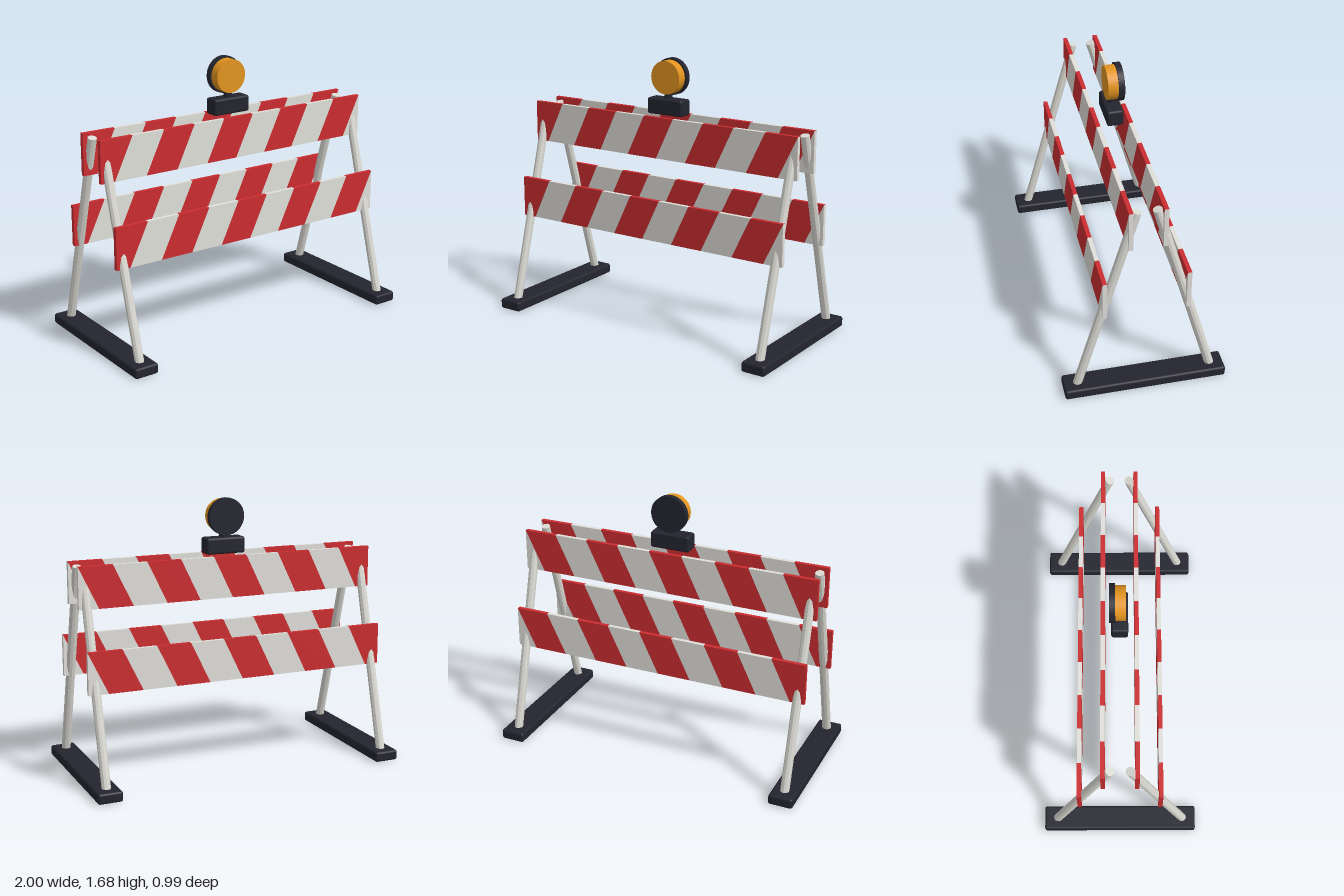
import * as THREE from 'three';
import { RoundedBoxGeometry } from 'three/addons/geometries/RoundedBoxGeometry.js';

const material = (name, color) => {
  const m = new THREE.MeshStandardMaterial({ color });
  m.name = name;
  return m;
};

export function createModel() {
  const red = material('red', 0xcb2d30);
  const white = material('white', 0xe0dfda);
  const dark = material('charcoal', 0x24242f);
  const amber = material('amber', 0xe3941f);
  const steel = material('pale steel', 0xdad9d2);
  steel.flatShading = true;

  const model = new THREE.Group();
  model.name = 'barricade';

  const add = (name, geometry, mat, x, y, z, parent = model) => {
    const mesh = new THREE.Mesh(geometry, mat);
    mesh.name = name;
    mesh.position.set(x, y, z);
    parent.add(mesh);
    return mesh;
  };

  // Slanted stripes that run right through a board
  const half = 0.97, height = 0.258, thick = 0.026, slant = 0.125;
  const pitch = (2 * half) / 9;
  const stripes = (first) => {
    const shapes = [];
    for (let k = first; k < 10; k += 2) {
      const left = -half + k * pitch;
      const clamp = (x) => Math.min(half, Math.max(-half, x));
      const points = [
        new THREE.Vector2(clamp(left - slant), 0),
        new THREE.Vector2(clamp(left + pitch - slant), 0),
        new THREE.Vector2(clamp(left + pitch), height),
      ];
      if (k < 9) points.push(new THREE.Vector2(left, height));
      shapes.push(new THREE.Shape(points));
    }
    const geometry = new THREE.ExtrudeGeometry(shapes, { depth: thick, bevelEnabled: false });
    return geometry.translate(0, 0, -thick / 2);
  };
  const redStripes = stripes(0);
  const whiteStripes = stripes(1);

  // Boards on both sloping sides
  for (const side of [1, -1]) {
    for (const [name, y, z] of [['upperBoard', 1.07, 0.1], ['lowerBoard', 0.589, 0.249]]) {
      const board = new THREE.Group();
      board.name = name;
      board.position.set(0, y, side * z);
      add('redStripes', redStripes, red, 0, 0, 0, board);
      add('whiteStripes', whiteStripes, white, 0, 0, 0, board);
      model.add(board);
    }
  }

  // Feet and leaning legs
  const footGeometry = new RoundedBoxGeometry(0.154, 0.065, 0.99, 2, 0.014);
  const up = new THREE.Vector3(0, 1, 0);
  for (const x of [-0.923, 0.923]) {
    add('foot', footGeometry, dark, x, 0.0325, 0);
    for (const side of [1, -1]) {
      const bottom = new THREE.Vector3(x, 0.04, side * 0.415);
      const top = new THREE.Vector3(x, 1.302, side * 0.058);
      const axis = top.clone().sub(bottom);
      const leg = add('leg', new THREE.CylinderGeometry(0.028, 0.028, axis.length(), 10), steel, 0, 0, 0);
      leg.position.copy(bottom).add(top).multiplyScalar(0.5);
      leg.quaternion.setFromUnitVectors(up, axis.normalize());
    }
  }

  // Warning lamp
  const lamp = new THREE.Group();
  lamp.name = 'warningLamp';
  model.add(lamp);
  add('batteryBox', new RoundedBoxGeometry(0.256, 0.102, 0.1, 2, 0.014), dark, 0, 1.382, 0, lamp);
  add('neck', new THREE.CylinderGeometry(0.026, 0.026, 0.06, 16), dark, 0, 1.445, 0, lamp);
  const disc = (radius, depth) => new THREE.CylinderGeometry(radius, radius, depth, 32).rotateX(Math.PI / 2);
  add('lens', disc(0.104, 0.066), amber, 0, 1.563, 0.004, lamp);
  add('housing', disc(0.115, 0.036), dark, 0, 1.563, -0.043, lamp);

  return model;
}
